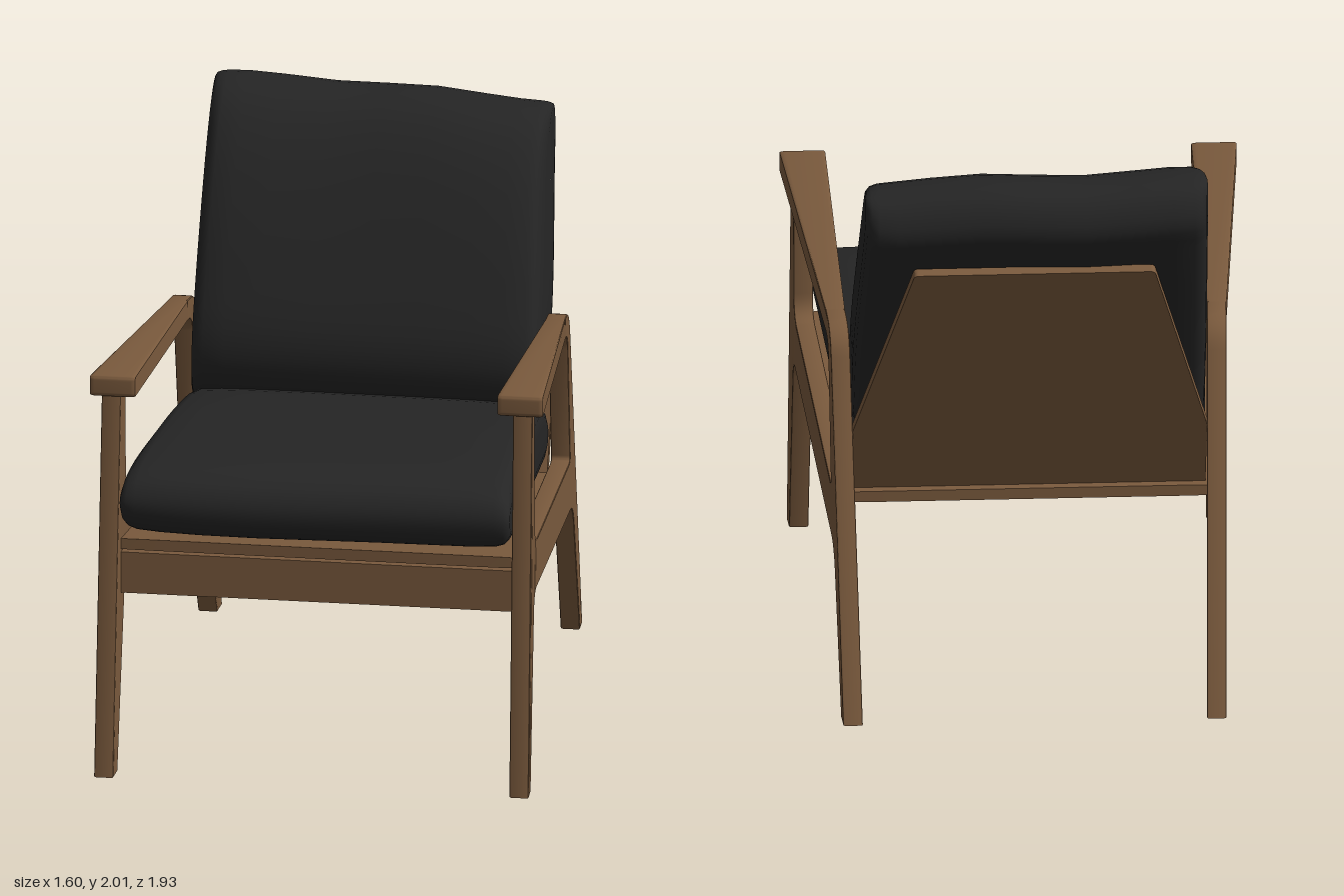
import * as THREE from 'three';
import { toCreasedNormals } from 'three/addons/utils/BufferGeometryUtils.js';

const wood = new THREE.MeshStandardMaterial({ color: 0x7a5a3d });
wood.name = 'walnut wood';
const fabric = new THREE.MeshStandardMaterial({ color: 0x252525 });
fabric.name = 'black fabric';

// The side frames lean inwards towards the back
const frameX = z => 0.73 - 0.0515 * (0.9 - z);

function mesh(name, geometry, material) {
  const m = new THREE.Mesh(geometry, material);
  m.name = name;
  return m;
}

// Closed polygon of [a, b, cornerRadius]
function roundedShape(points) {
  const shape = new THREE.Shape();
  const n = points.length;
  points.forEach((p, i) => {
    const v = new THREE.Vector2(p[0], p[1]);
    const toward = q => {
      const d = new THREE.Vector2(q[0], q[1]).sub(v);
      return v.clone().add(d.setLength(p[2] || 0));
    };
    const a = toward(points[(i + n - 1) % n]);
    const b = toward(points[(i + 1) % n]);
    if (i) shape.lineTo(a.x, a.y);
    else shape.moveTo(a.x, a.y);
    if (p[2]) shape.quadraticCurveTo(v.x, v.y, b.x, b.y);
  });
  shape.closePath();
  return shape;
}

// Extrudes a (z, y) outline across x, with centre and half width varying along z
function sideExtrude(points, centre, half, bevel) {
  const geo = new THREE.ExtrudeGeometry(roundedShape(points), {
    depth: 0.8, curveSegments: 8, bevelEnabled: true, bevelThickness: 0.1,
    bevelSize: bevel, bevelOffset: -bevel, bevelSegments: 2,
  });
  const pos = geo.attributes.position;
  for (let i = 0; i < pos.count; i++) {
    const z = pos.getX(i), y = pos.getY(i), t = pos.getZ(i) + 0.1;
    pos.setXYZ(i, centre(z) + half(z) * (1 - 2 * t), y, z);
  }
  return toCreasedNormals(geo, 0.6);
}

// Pillow lofted across x from a (z, y) outline, flattened to its spine at both ends
function cushion(outline, centre, dir, halfWidth, warp) {
  const curve = new THREE.CatmullRomCurve3(
    outline.map(([z, y]) => new THREE.Vector3(0, y, z)), true);
  const ring = curve.getPoints(48).slice(0, 48);
  const d = new THREE.Vector3(0, dir[1], dir[0]).normalize();
  const c = new THREE.Vector3(0, centre[1], centre[0]);
  const halfStations = [[1, 0], [1, 0.45], [0.99, 0.7], [0.965, 0.85], [0.92, 0.93],
    [0.8, 0.97], [0.6, 0.99], [0.3, 1]];
  const stations = [
    ...halfStations.map(([u, s]) => [-u, s]), [0, 1],
    ...halfStations.map(([u, s]) => [u, s]).reverse(),
  ];
  const pos = [], idx = [], n = ring.length;
  stations.forEach(([u, s], i) => {
    ring.forEach((p, j) => {
      const off = p.clone().sub(c);
      const along = d.clone().multiplyScalar(off.dot(d));
      const q = off.sub(along).multiplyScalar(s)
        .addScaledVector(along, 1 - 0.07 * (1 - s)).add(c);
      q.x = u * halfWidth(q.z);
      warp(q);
      pos.push(q.x, q.y, q.z);
      if (i < stations.length - 1) {
        const k = (j + 1) % n, a = i * n, b = a + n;
        idx.push(a + j, b + j, a + k, b + j, b + k, a + k);
      }
    });
  });
  const geo = new THREE.BufferGeometry();
  geo.setAttribute('position', new THREE.Float32BufferAttribute(pos, 3));
  geo.setIndex(idx);
  geo.computeVertexNormals();
  return geo;
}

export function createModel() {
  const chair = new THREE.Group();
  chair.name = 'armchair';

  // Legs, side rail and elbow in one piece
  const frame = [
    [0.965, 0], [0.828, 1.39], [0.748, 1.385], [0.738, 0.865, 0.08], [-0.51, 0.738, 0.03],
    [-0.415, 1.24, 0.06], [-0.33, 1.249], [-0.33, 1.327], [-0.476, 1.313, 0.1],
    [-0.93, 0], [-0.85, 0], [-0.605, 0.545, 0.09], [0.755, 0.69, 0.075], [0.89, 0],
  ].reverse();
  // Armrest, wide at the front and narrowing into the elbow
  const arm = [
    [0.85, 1.367, 0.015], [0.85, 1.445, 0.02], [-0.33, 1.327], [-0.33, 1.249],
  ];
  const armT = z => (z + 0.33) / 1.18;
  for (const side of [1, -1]) {
    const label = side > 0 ? 'left' : 'right';
    chair.add(mesh(label + 'SideFrame',
      sideExtrude(frame, z => side * frameX(z), () => 0.034, 0.004), wood));
    chair.add(mesh(label + 'Armrest', sideExtrude(arm,
      z => side * THREE.MathUtils.lerp(0.667, 0.72, armT(z)),
      z => THREE.MathUtils.lerp(0.034, 0.08, armT(z)), 0.004), wood));
  }

  // Front rail and sloping seat board
  const rail = mesh('frontRail', new THREE.BoxGeometry(1.39, 0.15, 0.05), wood);
  rail.position.set(0, 0.715, 0.805);
  chair.add(rail);
  chair.add(mesh('seatBoard', sideExtrude(
    [[0.83, 0.8], [0.83, 0.84], [-0.51, 0.71], [-0.51, 0.67]],
    () => 0, z => frameX(z) - 0.03, 0.001), wood));

  // Reclined back board, tapering towards the top
  const board = roundedShape([
    [-0.62, 0], [0.62, 0], [0.62, 0.3], [0.42, 1.086, 0.015], [-0.42, 1.086, 0.015], [-0.62, 0.3],
  ]);
  const backBoard = mesh('backBoard',
    new THREE.ExtrudeGeometry(board, { depth: 0.035, bevelEnabled: false }), wood);
  backBoard.position.set(0, 0.7, -0.473);
  backBoard.rotation.x = -0.424;
  chair.add(backBoard);

  // Seat cushion
  chair.add(mesh('seatCushion', cushion([
    [0.85, 0.875], [0.9, 0.92], [0.91, 1.0], [0.86, 1.07], [0.7, 1.105], [0.35, 1.1],
    [0, 1.075], [-0.3, 1.025], [-0.46, 0.95], [-0.5, 0.84], [-0.46, 0.755], [-0.3, 0.76],
    [0.1, 0.8], [0.6, 0.85],
  ], [0.2, 0.93], [1, 0.1], z => frameX(z) - 0.04, q => {
    q.z -= 0.012 * Math.sin(q.x * 5) * Math.max(0, q.z);
  }), fabric));

  // Back cushion, slightly slumped on one side
  chair.add(mesh('backCushion', cushion([
    [-0.32, 0.98], [-0.245, 1.08], [-0.235, 1.22], [-0.31, 1.43], [-0.41, 1.65], [-0.53, 1.85],
    [-0.65, 1.965], [-0.79, 2.0], [-0.9, 1.965], [-0.945, 1.86], [-0.9, 1.75],
    [-0.77, 1.47], [-0.64, 1.18], [-0.55, 0.99], [-0.43, 0.935],
  ], [-0.58, 1.48], [-0.43, 0.9], () => 0.618, q => {
    const top = THREE.MathUtils.smoothstep(q.y, 1.2, 2);
    q.y -= top * (0.03 * (q.x + 0.3) - 0.008 * Math.sin(q.x * 9));
    q.z -= top * 0.018 * Math.cos((q.x + 0.25) * 4);
    q.x *= 1 - top * (q.x > 0 ? 0.05 : 0.015);
  }), fabric));

  return chair;
}
